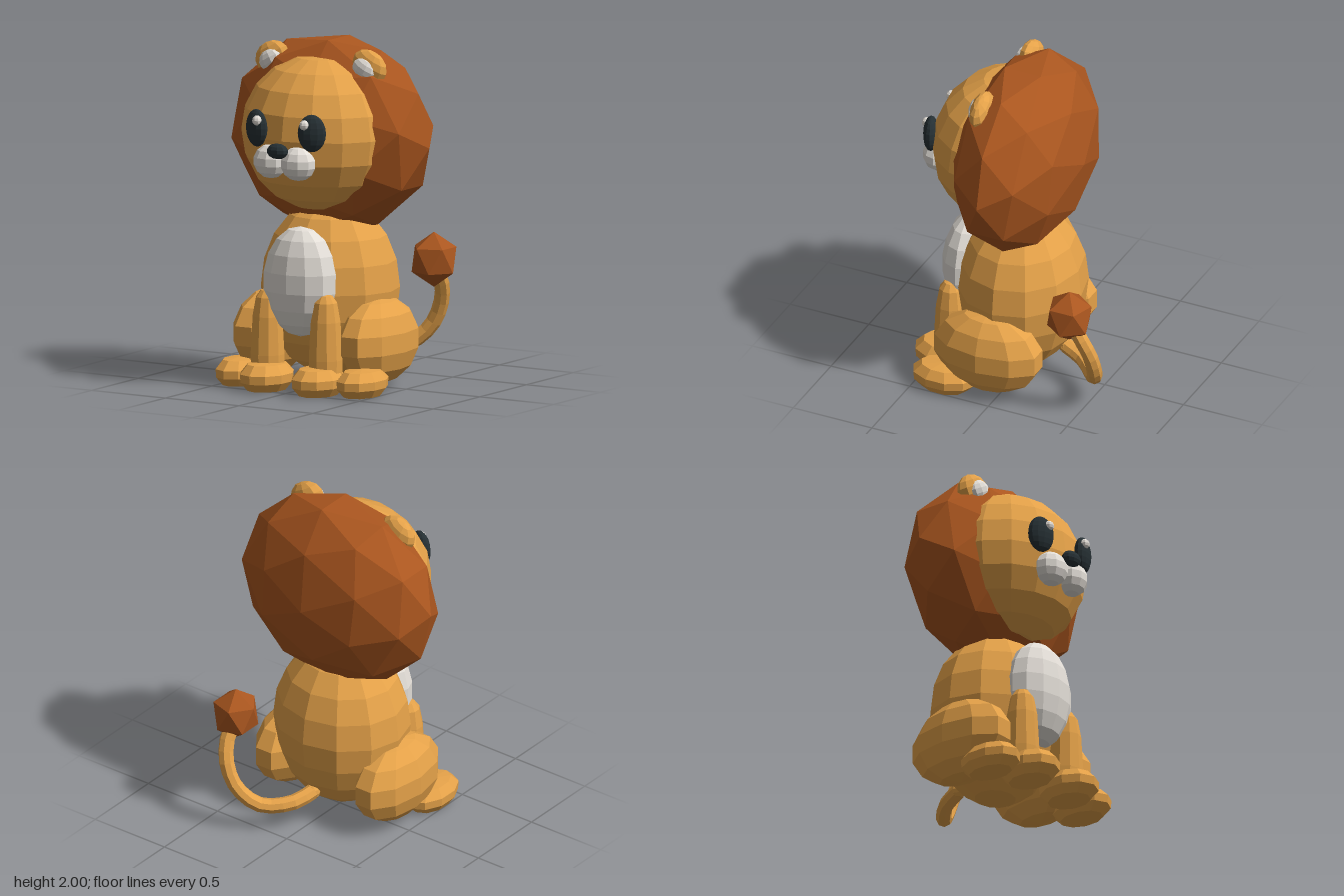
import * as THREE from 'three';

const paint = (name, color) => {
  const m = new THREE.MeshStandardMaterial({ color });
  m.name = name;
  m.flatShading = true;
  return m;
};

const toProfile = (points) => points.map(([r, y]) => new THREE.Vector2(r, y));

export function createModel() {
  const tan = paint('tan fur', 0xe5a249);
  const brown = paint('brown mane', 0xaa561f);
  const cream = paint('cream', 0xe4dfd8);
  const dark = paint('dark', 0x263034);

  const lion = new THREE.Group();
  lion.name = 'lion';

  const add = (name, geometry, material, pos = [0, 0, 0], rot = [0, 0, 0]) => {
    const mesh = new THREE.Mesh(geometry, material);
    mesh.name = name;
    mesh.position.set(...pos);
    mesh.rotation.set(...rot);
    lion.add(mesh);
  };

  // Faceted ellipsoid with its poles on the y axis
  const blob = (name, material, pos, radii, rot, sides = 10, rows = 7) =>
    add(name, new THREE.SphereGeometry(1, sides, rows).scale(...radii), material, pos, rot);

  // Body and belly patch
  blob('body', tan, [0, 0.56, 0.02], [0.41, 0.515, 0.37], [0, 0, 0], 12, 10);
  blob('belly', cream, [0, 0.63, 0.34], [0.235, 0.32, 0.16], [0, 0, 0], 12, 9);

  // Head, mane and nose
  blob('head', tan, [0, 1.47, 0.12], [0.475, 0.455, 0.425], [0, 0, 0], 16, 10);
  const maneShape = new THREE.IcosahedronGeometry(1, 1).rotateZ(-1.087).scale(0.66, 0.58, 0.37);
  add('mane', maneShape, brown, [0, 1.452, 0]);
  blob('nose', dark, [0, 1.42, 0.588], [0.07, 0.045, 0.042]);

  // Front leg: wide at the ankle, rounded at the shoulder
  const legProfile = toProfile([[0, 0.06], [0.098, 0.06], [0.1, 0.2], [0.088, 0.42], [0.068, 0.53], [0.04, 0.57], [0, 0.58]]);
  // Foot: flat sole, upright rim and low rounded top, at unit size
  const footProfile = toProfile([[0, 0], [0.72, 0], [0.98, 0.3], [1, 0.6], [0.72, 0.92], [0, 1]]);
  const foot = (name, pos, radii) => add(name, new THREE.LatheGeometry(footProfile, 10).scale(...radii), tan, pos);

  // Paired parts, mirrored across x
  for (const [side, s] of [['left', 1], ['right', -1]]) {
    blob(`${side} ear`, tan, [s * 0.328, 1.873, 0.122], [0.12, 0.095, 0.062], [0, 0, -s * 0.5]);
    blob(`${side} inner ear`, cream, [s * 0.316, 1.862, 0.16], [0.08, 0.066, 0.045], [0, 0, -s * 0.5]);
    blob(`${side} eye`, dark, [s * 0.187, 1.53, 0.515], [0.083, 0.109, 0.045], [0, s * 0.35, 0], 12, 10);
    blob(`${side} eye highlight`, cream, [s * 0.16, 1.58, 0.553], [0.03, 0.03, 0.03], [0, 0, 0], 8, 6);
    blob(`${side} muzzle`, cream, [s * 0.093, 1.345, 0.512], [0.108, 0.1, 0.09], [0, s * 0.15, 0]);
    blob(`${side} thigh`, tan, [s * 0.36, 0.282, 0.067], [0.18, 0.252, 0.343]);
    foot(`${side} hind foot`, [s * 0.41, 0, 0.325], [0.13, 0.16, 0.195]);
    add(`${side} front leg`, new THREE.LatheGeometry(legProfile, 10), tan, [s * 0.197, 0, 0.383]);
    foot(`${side} front foot`, [s * 0.175, 0, 0.425], [0.145, 0.165, 0.19]);
  }

  // Curled tail with a capped root and a tuft
  const tailPath = new THREE.CatmullRomCurve3([
    [0, 0.2, -0.255], [0.045, 0.17, -0.38], [0.18, 0.165, -0.51], [0.3, 0.27, -0.58],
    [0.37, 0.42, -0.585], [0.4, 0.55, -0.535], [0.395, 0.65, -0.47],
  ].map((p) => new THREE.Vector3(...p)));
  add('tail', new THREE.TubeGeometry(tailPath, 14, 0.045, 8), tan);
  add('tail root', new THREE.SphereGeometry(0.045, 8, 6), tan, [0, 0.2, -0.255]);
  const tuftShape = new THREE.IcosahedronGeometry(0.16, 0).rotateZ(0.5536).scale(0.9, 1, 0.9);
  add('tail tuft', tuftShape, brown, [0.395, 0.68, -0.465]);

  return lion;
}
